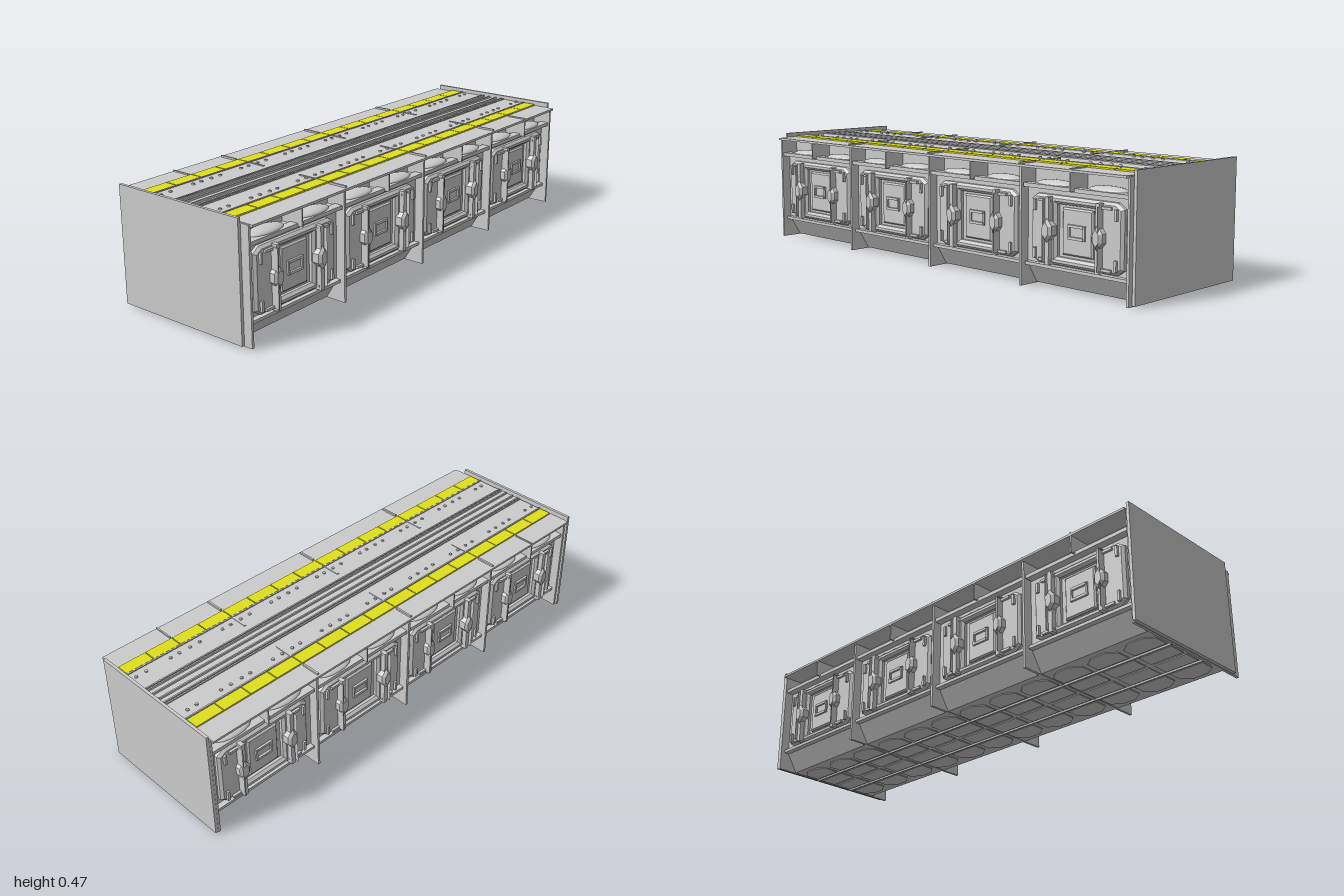
import * as THREE from 'three';

const grey = new THREE.MeshStandardMaterial({ color: 0xcccccc });
const yellow = new THREE.MeshStandardMaterial({ color: 0xe0e01c });

function add(parent, name, geometry, x = 0, y = 0, z = 0, material = grey) {
  const mesh = new THREE.Mesh(geometry, material);
  mesh.name = name;
  mesh.position.set(x, y, z);
  parent.add(mesh);
  return mesh;
}

// Box given by its limits
function box(parent, name, x0, x1, y0, y1, z0, z1, material) {
  return add(parent, name, new THREE.BoxGeometry(x1 - x0, y1 - y0, z1 - z0),
    (x0 + x1) / 2, (y0 + y1) / 2, (z0 + z1) / 2, material);
}

function polygon(points) {
  return new THREE.Shape(points.map(([x, y]) => new THREE.Vector2(x, y)));
}

// Outline in (z, y), extruded outward along +x, with optional bevel
function sidePlate(parent, name, points, x, depth, bevel = 0, hole = null) {
  const shape = polygon(points.map(([z, y]) => [-z, y]));
  if (hole) shape.holes.push(polygon(hole.map(([z, y]) => [-z, y])));
  const geometry = new THREE.ExtrudeGeometry(shape, {
    depth, bevelEnabled: bevel > 0, bevelSize: bevel, bevelThickness: bevel, bevelOffset: -bevel, bevelSegments: 1,
  });
  geometry.rotateY(Math.PI / 2);
  return add(parent, name, geometry, x, 0, 0);
}

// One wall bay between two fins, facing +x
function createBay() {
  const bay = new THREE.Group();
  bay.name = 'wallBay';

  // Raised panel with chamfered corners and an open centre
  sidePlate(bay, 'wallPanel',
    [[-0.21, 0.12], [-0.18, 0.1], [0.18, 0.1], [0.21, 0.12], [0.21, 0.33], [0.18, 0.35], [-0.18, 0.35], [-0.21, 0.33]],
    0.268, 0.012, 0.01,
    [[-0.09, 0.13], [-0.09, 0.32], [0.09, 0.32], [0.09, 0.13]]);
  sidePlate(bay, 'centrePanel',
    [[-0.07, 0.14], [0.07, 0.14], [0.07, 0.31], [-0.07, 0.31]], 0.265, 0.008, 0.006);
  for (const y of [0.205, 0.248]) box(bay, 'slotBar', 0.275, 0.288, y - 0.005, y + 0.005, -0.033, 0.033);
  for (const z of [-0.035, 0.035]) box(bay, 'slotSide', 0.275, 0.286, 0.2, 0.253, z - 0.004, z + 0.004);

  // Pillars, each with a lens-shaped boss
  for (const s of [-1, 1]) {
    const z = s * 0.115;
    box(bay, 'pillar', 0.265, 0.31, 0.1, 0.345, z - 0.009, z + 0.009);
    box(bay, 'pillarEdge', 0.265, 0.32, 0.11, 0.335, z + s * 0.009, z + s * 0.014);
    sidePlate(bay, 'pillarBoss',
      [[z, 0.18], [z + 0.023, 0.208], [z + 0.023, 0.242], [z, 0.27], [z - 0.023, 0.242], [z - 0.023, 0.208]],
      0.28, 0.03, 0.01);
    // Corner brackets
    for (const y of [0.115, 0.33]) {
      box(bay, 'bracketBar', 0.28, 0.3, y - 0.005, y + 0.005, z + s * 0.02 - 0.03, z + s * 0.02 + 0.03);
      box(bay, 'bracketPost', 0.28, 0.3, y > 0.2 ? 0.29 : 0.115, y > 0.2 ? 0.33 : 0.155, s * 0.185 - 0.005, s * 0.185 + 0.005);
    }
  }
  // Rails above and below the panel
  box(bay, 'upperRail', 0.265, 0.3, 0.37, 0.385, -0.238, 0.238);
  box(bay, 'lowerRail', 0.262, 0.29, 0.083, 0.095, -0.238, 0.238);
  for (const s of [-1, 1]) {
    const cap = add(bay, 'railCap', new THREE.SphereGeometry(1, 16, 8, 0, Math.PI * 2, 0, Math.PI / 2), 0.255, 0.385, s * 0.12);
    cap.scale.set(0.04, 0.016, 0.085);
  }
  // Divider under the deck overhang
  box(bay, 'overhangDivider', 0.22, 0.32, 0.375, 0.45, -0.003, 0.003);
  return bay;
}

// One long half of the deck details and wall, on the +x side
function createSide() {
  const side = new THREE.Group();
  side.name = 'side';
  for (const z of [-0.737, -0.245, 0.245, 0.737]) {
    const bay = createBay();
    bay.position.z = z;
    side.add(bay);
  }
  // Yellow marking strip in short segments
  for (let i = 0; i < 16; i++) {
    const z = -0.98 + i * 0.1225;
    box(side, 'markingStrip', 0.174, 0.226, 0.45, 0.458, z + 0.002, z + 0.1205, yellow);
  }
  // Deck plates and long rails
  box(side, 'deckPlate', 0.062, 0.165, 0.45, 0.456, -0.98, 0.98);
  for (const x of [0.018, 0.047, 0.058, 0.168]) box(side, 'deckRail', x - 0.003, x + 0.003, 0.45, 0.46, -0.98, 0.98);

  // Bolts in groups of four
  const bolt = new THREE.CylinderGeometry(0.006, 0.007, 0.006, 8);
  for (let k = -4; k <= 4; k++) {
    for (const d of [-0.075, -0.035, 0.015, 0.06]) {
      const z = k * 0.245 + d;
      if (Math.abs(z) < 0.97) add(side, 'deckBolt', bolt, 0.135, 0.458, z);
    }
  }
  // Seams across the deck
  for (const z of [-0.49, 0, 0.49]) {
    box(side, 'deckSeam', 0.09, 0.172, 0.45, 0.459, z - 0.004, z + 0.004);
    box(side, 'edgeSeam', 0.235, 0.312, 0.45, 0.459, z - 0.004, z + 0.004);
  }
  box(side, 'edgeSeam', 0.235, 0.32, 0.45, 0.457, -0.738, -0.732);

  // Underside tread plates
  for (let i = 0; i < 12; i++) {
    const z = -0.9 + i * 0.1636;
    const shape = polygon([[0.105, z - 0.07], [0.165, z - 0.07], [0.195, z - 0.03], [0.195, z + 0.03], [0.165, z + 0.07], [0.105, z + 0.07]]);
    const geometry = new THREE.ExtrudeGeometry(shape, { depth: 0.005, bevelEnabled: false });
    geometry.rotateX(Math.PI / 2);
    add(side, 'undersidePlate', geometry, 0, 0.0085, 0);
    box(side, 'undersideCentrePlate', 0.008, 0.08, 0.003, 0.01, z - 0.07, z + 0.07);
  }
  box(side, 'undersideRail', 0.088, 0.096, 0, 0.01, -0.98, 0.98);
  return side;
}

export function createModel() {
  const model = new THREE.Group();
  model.name = 'corridorSection';

  // Hull with sloped lower edges and a recess below the deck
  const half = [[0.22, 0.007], [0.268, 0.085], [0.268, 0.378], [0.228, 0.378], [0.228, 0.445]];
  const outline = [...half, ...half.map(([x, y]) => [-x, y]).reverse()];
  const hull = new THREE.ExtrudeGeometry(polygon(outline), { depth: 1.97, bevelEnabled: false });
  add(model, 'hull', hull, 0, 0, -0.985);

  // Deck slab overhanging the walls
  box(model, 'deck', -0.32, 0.32, 0.443, 0.452, -0.982, 0.982);

  // Full-height fins
  for (const z of [-0.983, -0.49, 0, 0.49, 0.983]) {
    box(model, 'fin', -0.306, 0.306, 0.005, 0.45, z - 0.005, z + 0.005);
  }
  // End plates
  box(model, 'frontPlate', -0.315, 0.27, 0.008, 0.47, 0.988, 1);
  box(model, 'backPlate', -0.305, 0.286, 0.008, 0.47, -1, -0.988);

  // Both sides, the second turned half a circle
  const left = createSide();
  const right = createSide();
  right.rotation.y = Math.PI;
  model.add(left, right);
  return model;
}
